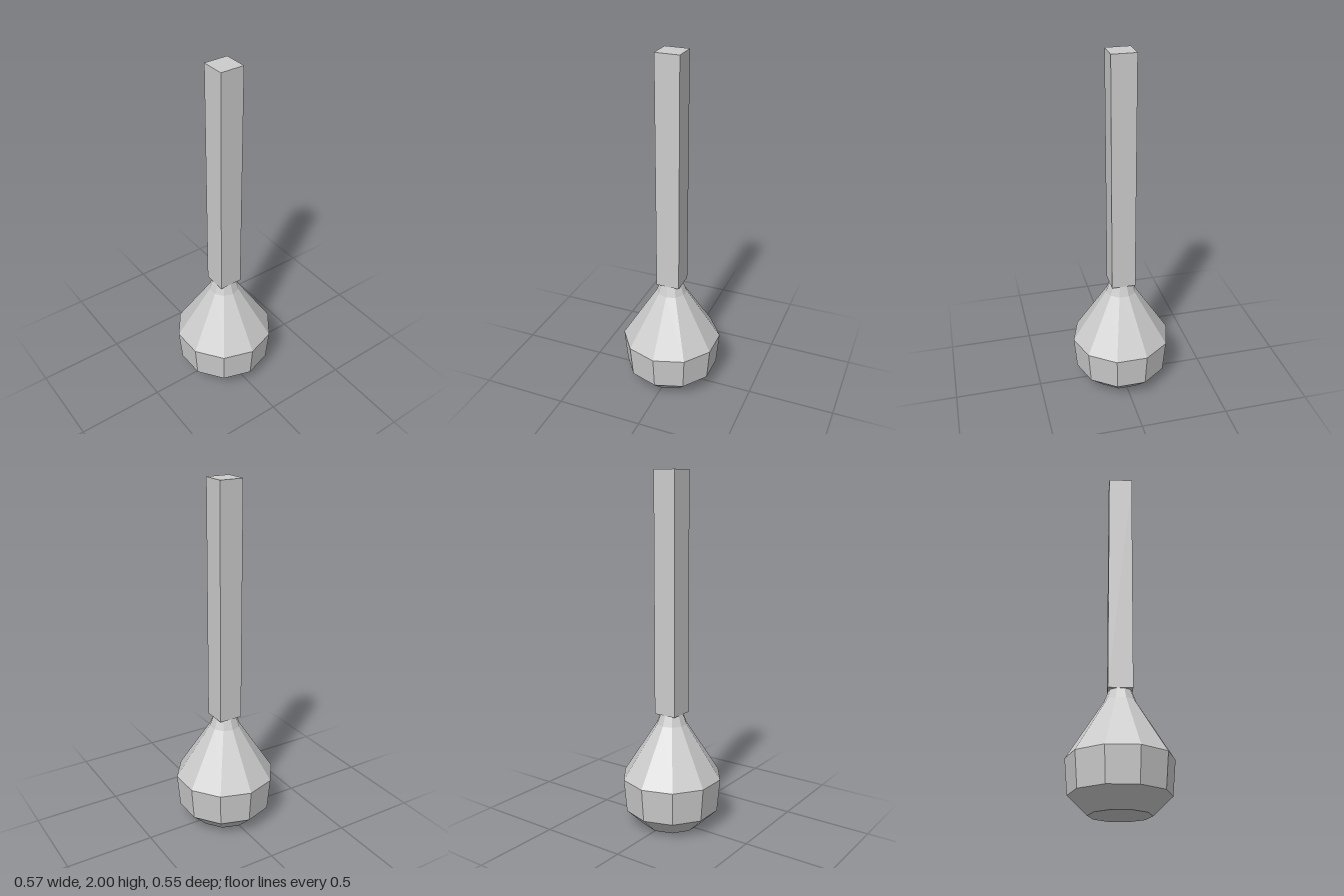
import * as THREE from 'three';

const lightGrey = new THREE.MeshStandardMaterial({ color: 0xcccccc });
lightGrey.name = 'lightGrey';

// Give every facet its own hard-edged normal
function faceted(geometry) {
  const flat = geometry.toNonIndexed();
  flat.computeVertexNormals();
  return flat;
}

function addPart(group, name, geometry) {
  const mesh = new THREE.Mesh(geometry, lightGrey);
  mesh.name = name;
  group.add(mesh);
  return mesh;
}

export function createModel() {
  const group = new THREE.Group();
  group.name = 'bulbWithPost';

  // Ten-sided bulb: closed base, flared belly, tapering neck (radius, height)
  const profile = [
    [0, 0], [0.165, 0], [0.27, 0.1], [0.287, 0.29],
    [0.088, 0.6], [0.065, 0.66], [0, 0.66],
  ].map(([r, y]) => new THREE.Vector2(r, y));
  addPart(group, 'bulb', faceted(new THREE.LatheGeometry(profile, 10, Math.PI / 2)));

  // Square post standing on the neck
  const bottom = 0.66, top = 2, width = 0.136;
  const post = addPart(group, 'post', new THREE.BoxGeometry(width, top - bottom, width));
  post.position.set(-0.001, (bottom + top) / 2, -0.001);

  return group;
}
